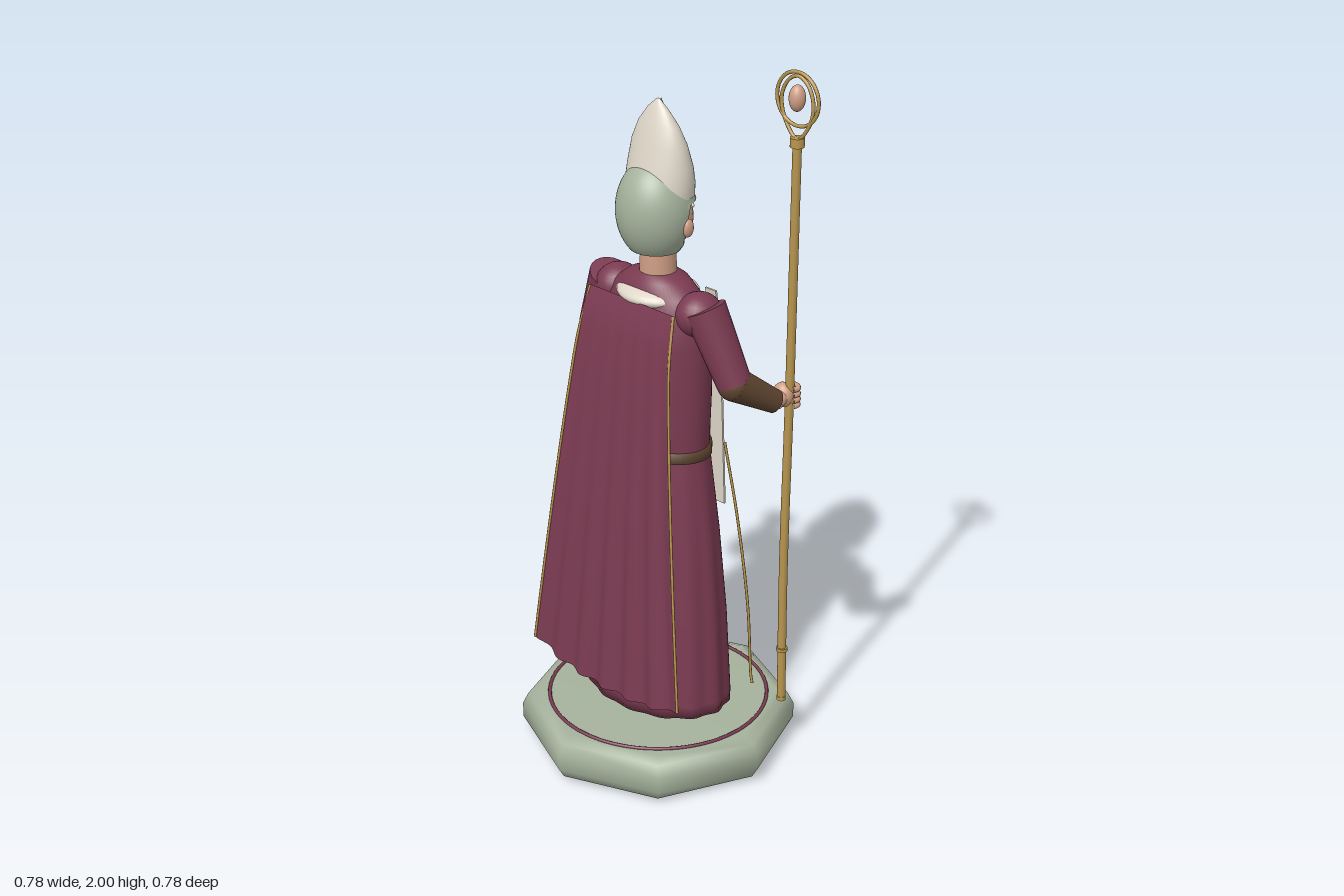
import * as THREE from 'three';

const mat = (name, color, side = THREE.FrontSide) => {
  const m = new THREE.MeshStandardMaterial({ color, side });
  m.name = name;
  return m;
};

export function createModel() {
  const model = new THREE.Group();
  const crimson = mat('crimson cloth', 0x7c3b52, THREE.DoubleSide);
  const sage = mat('sage', 0xa5b29c);
  const cream = mat('cream', 0xded6c8, THREE.DoubleSide);
  const brown = mat('brown leather', 0x5f4530);
  const gold = mat('gold', 0xb9964f);
  const skin = mat('skin', 0xd09f85);
  const dark = mat('dark', 0x33241c);
  const V = (x, y, z) => new THREE.Vector3(x, y, z);

  const add = (name, geo, material, x = 0, y = 0, z = 0) => {
    const m = new THREE.Mesh(geo, material);
    m.name = name;
    m.position.set(x, y, z);
    model.add(m);
    return m;
  };
  const ball = (name, material, p, r, seg = 20) => {
    const m = add(name, new THREE.SphereGeometry(1, seg, Math.round(seg * 0.7)), material, ...p);
    m.scale.set(...r);
    return m;
  };
  // tapered limb from a to b
  const limb = (name, material, a, b, ra, rb, seg = 20) => {
    const d = b.clone().sub(a);
    const m = add(name, new THREE.CylinderGeometry(rb, ra, d.length(), seg), material);
    m.position.copy(a).add(b).multiplyScalar(0.5);
    m.quaternion.setFromUnitVectors(V(0, 1, 0), d.normalize());
    return m;
  };
  const tube = (name, material, pts, r, closed = false, n = 32) =>
    add(name, new THREE.TubeGeometry(new THREE.CatmullRomCurve3(pts, closed), n, r, 8, closed), material);
  // smooth skin over elliptical rings [y, rx, rz, zCentre, fold]
  const loft = (rings, seg = 56) => {
    const pos = [], idx = [];
    rings.forEach(([y, rx, rz, cz = 0, fold = 0], i) => {
      for (let j = 0; j < seg; j++) {
        const a = (j / seg) * Math.PI * 2, k = 1 + fold * Math.cos(a * 14);
        pos.push(Math.cos(a) * rx * k, y, cz + Math.sin(a) * rz * k);
        if (i === rings.length - 1) continue;
        const p = i * seg + j, q = i * seg + (j + 1) % seg;
        idx.push(p, p + seg, q, p + seg, q + seg, q);
      }
    });
    const g = new THREE.BufferGeometry();
    g.setAttribute('position', new THREE.Float32BufferAttribute(pos, 3));
    g.setIndex(idx);
    g.computeVertexNormals();
    return g;
  };

  // Octagonal plinth with a ring inlay
  const plinth = [[0, 0], [0.33, 0], [0.37, 0.015], [0.388, 0.045], [0.388, 0.09], [0.372, 0.122], [0.34, 0.135], [0, 0.135]];
  add('plinth', new THREE.LatheGeometry(plinth.map(p => new THREE.Vector2(...p)), 8), sage);
  const inlay = add('plinthRing', new THREE.TorusGeometry(0.31, 0.005, 8, 64), crimson, 0, 0.137, 0);
  inlay.rotation.x = Math.PI / 2;

  // Robe
  add('skirt', loft([[0.166, 0.01, 0.01], [0.165, 0.232, 0.167, 0, 0.018], [0.2, 0.232, 0.167, 0, 0.018],
    [0.45, 0.218, 0.155, 0, 0.014], [0.7, 0.195, 0.135, 0, 0.008], [0.86, 0.175, 0.117, 0, 0.003],
    [0.95, 0.163, 0.108]], 112), crimson);
  add('torso', loft([[0.93, 0.163, 0.107], [1.1, 0.17, 0.11], [1.25, 0.17, 0.108], [1.33, 0.165, 0.098],
    [1.38, 0.14, 0.082], [1.415, 0.095, 0.068], [1.43, 0.05, 0.05]]), crimson);
  add('belt', loft([[0.925, 0.16, 0.1], [0.926, 0.171, 0.115], [0.955, 0.171, 0.115], [0.956, 0.16, 0.1]]), brown);
  ball('buckle', gold, [0, 0.94, -0.115], [0.024, 0.02, 0.01]);
  ball('collar', cream, [0, 1.372, 0], [0.115, 0.034, 0.106], 28);

  // Cape
  const cape = new THREE.PlaneGeometry(1, 1, 64, 24), cp = cape.attributes.position;
  const capeAt = (u, v) => V(u * 2 * (0.155 + 0.13 * v),
    1.37 - v * (1.135 - 0.045 * Math.pow(Math.abs(2 * u), 3)),
    0.1 + 0.112 * Math.pow(v, 0.6) + 0.008 * v * Math.cos(u * Math.PI * 12) - 0.008 * v * Math.abs(2 * u));
  for (let i = 0; i < cp.count; i++) {
    const p = capeAt(cp.getX(i), 0.5 - cp.getY(i));
    cp.setXYZ(i, p.x, p.y, p.z);
  }
  cape.computeVertexNormals();
  add('cape', cape, crimson);

  for (const s of [-1, 1]) {
    const side = s > 0 ? 'left' : 'right';
    const edge = Array.from({ length: 9 }, (_, i) => capeAt(0.5 * s, i / 8));
    tube(side + 'CapeTrim', gold, edge, 0.004);
    // Floating robe cord
    tube(side + 'RobeTrim', gold, [V(0.137 * s, 0.93, -0.118), V(0.165 * s, 0.7, -0.143),
      V(0.19 * s, 0.42, -0.165), V(0.197 * s, 0.19, -0.176), V(0.204 * s, 0.17, -0.174)], 0.004);
    // Hanging stole
    const stole = new THREE.BoxGeometry(0.045, 0.64, 0.006, 1, 8, 1), sp = stole.attributes.position;
    for (let i = 0; i < sp.count; i++) {
      const t = 0.5 - sp.getY(i) / 0.64;
      sp.setX(i, sp.getX(i) * (0.85 + 0.25 * t) + 0.004 * t * s);
      sp.setZ(i, sp.getZ(i) - 0.103 - 0.034 * Math.sqrt(t));
    }
    stole.computeVertexNormals();
    add(side + 'Stole', stole, cream, 0.094 * s, 1.05, 0);
    // Shoe
    ball(side + 'Shoe', brown, [0.095 * s, 0.157, s < 0 ? -0.125 : -0.1], [0.04, 0.028, 0.055]);

    // Arm
    const wrist = s > 0 ? V(0.302, 1.1, -0.135) : V(-0.292, 1.2, -0.13);
    const elbow = V(0.262 * s, s > 0 ? 1.175 : 1.19, -0.02);
    ball(side + 'Shoulder', crimson, [0.15 * s, 1.345, 0], [0.062, 0.06, 0.066]);
    limb(side + 'Sleeve', crimson, V(0.175 * s, 1.37, 0.005), elbow, 0.058, 0.047);
    ball(side + 'Elbow', brown, elbow.toArray(), [0.047, 0.047, 0.047]);
    limb(side + 'Cuff', brown, elbow, wrist, 0.047, 0.032);
    limb(side + 'Wrist', skin, wrist, wrist.clone().add(V(0, 0.008, -0.025)), 0.024, 0.022);

    // Face features
    ball(side + 'Ear', skin, [0.104 * s, 1.57, -0.005], [0.012, 0.025, 0.018], 12);
    ball(side + 'Eye', cream, [0.034 * s, 1.595, -0.085], [0.014, 0.008, 0.006], 12);
    ball(side + 'Pupil', dark, [0.034 * s, 1.595, -0.09], [0.006, 0.006, 0.003], 10);
    const brow = ball(side + 'Brow', brown, [0.035 * s, 1.615, -0.086], [0.019, 0.004, 0.006], 10);
    brow.rotation.z = -0.15 * s;
  }

  // Head
  limb('neck', skin, V(0, 1.4, 0), V(0, 1.53, 0), 0.05, 0.048);
  ball('face', skin, [0, 1.577, -0.01], [0.088, 0.092, 0.082], 32);
  const nose = add('nose', new THREE.ConeGeometry(0.018, 0.055, 14), skin, 0, 1.572, -0.105);
  nose.rotation.x = -Math.PI / 2 - 0.1;
  ball('mouth', brown, [0, 1.534, -0.081], [0.022, 0.004, 0.005], 12);
  ball('chin', skin, [0, 1.51, -0.052], [0.03, 0.02, 0.022], 14);

  // Close cap: covers the back of the head, open below the brow in front
  const cap = new THREE.SphereGeometry(1, 48, 40), kp = cap.attributes.position;
  for (let i = 0; i < kp.count; i++) {
    const z = 0.01 + kp.getZ(i) * 0.104, low = z < -0.012 ? 1.632 : 1.493;
    kp.setXYZ(i, kp.getX(i) * 0.107, Math.max(low, 1.6 + kp.getY(i) * 0.14), z);
  }
  cap.computeVertexNormals();
  add('cap', cap, sage);

  // Tall pointed hat
  add('hat', loft([[1.645, 0.1, 0.083, -0.005], [1.68, 0.102, 0.078, -0.007], [1.72, 0.099, 0.069, -0.008],
    [1.78, 0.088, 0.052, -0.005], [1.83, 0.066, 0.034, -0.002], [1.87, 0.034, 0.017], [1.895, 0.006, 0.004],
    [1.897, 0.001, 0.001]]), cream);
  tube('hatTrim', gold, [V(0, 1.895, -0.004), V(0, 1.83, -0.04), V(0, 1.75, -0.069), V(0, 1.665, -0.09)], 0.005);

  // Staff with curled head
  const sz = -0.178;
  tube('staff', gold, [V(0.312, 0.165, sz), V(0.308, 0.6, sz), V(0.314, 1.1, sz), V(0.318, 1.82, sz)], 0.012);
  limb('staffFoot', gold, V(0.312, 0.163, sz), V(0.312, 0.175, sz), 0.013, 0.013);
  limb('staffRing', gold, V(0.31, 0.322, sz), V(0.31, 0.332, sz), 0.016, 0.016);
  limb('staffCollar', gold, V(0.318, 1.8, sz), V(0.318, 1.825, sz), 0.019, 0.019);
  add('crookRing', new THREE.TorusGeometry(0.07, 0.005, 8, 48), gold, 0.316, 1.925, sz);
  tube('crookLoop', gold, [V(0.317, 1.82, sz), V(0.272, 1.87, sz), V(0.262, 1.925, sz), V(0.285, 1.97, sz),
    V(0.316, 1.985, sz), V(0.347, 1.97, sz), V(0.368, 1.925, sz), V(0.36, 1.87, sz)], 0.005, true, 64);
  ball('crookJewel', skin, [0.314, 1.927, sz], [0.022, 0.035, 0.022]);

  // Hand gripping the staff
  ball('leftHand', skin, [0.298, 1.108, -0.17], [0.03, 0.035, 0.026]);
  for (let i = 0; i < 4; i++) {
    const y = 1.083 + i * 0.016;
    tube('leftFinger', skin, [V(0.292, y, -0.19), V(0.312, y, -0.202), V(0.333, y, -0.19), V(0.332, y, -0.17)], 0.008, false, 10);
  }

  // Open hand holding the book
  ball('rightHand', skin, [-0.293, 1.222, -0.168], [0.03, 0.017, 0.028]);
  for (let i = 0; i < 4; i++) {
    const x = -0.317 + i * 0.016;
    tube('rightFinger', skin, [V(x, 1.228, -0.178), V(x, 1.262, -0.187), V(x, 1.268, -0.2)], 0.007, false, 8);
  }
  limb('rightThumb', skin, V(-0.268, 1.225, -0.165), V(-0.26, 1.265, -0.178), 0.009, 0.007, 10);
  const book = new THREE.Group();
  book.name = 'book';
  const cover = new THREE.Mesh(new THREE.BoxGeometry(0.105, 0.016, 0.08), brown);
  cover.name = 'bookCover';
  const page = new THREE.Mesh(new THREE.BoxGeometry(0.092, 0.006, 0.066), cream);
  page.name = 'bookPage';
  page.position.y = 0.007;
  book.add(cover, page);
  book.position.set(-0.298, 1.245, -0.218);
  book.rotation.x = -0.35;
  model.add(book);

  return model;
}
